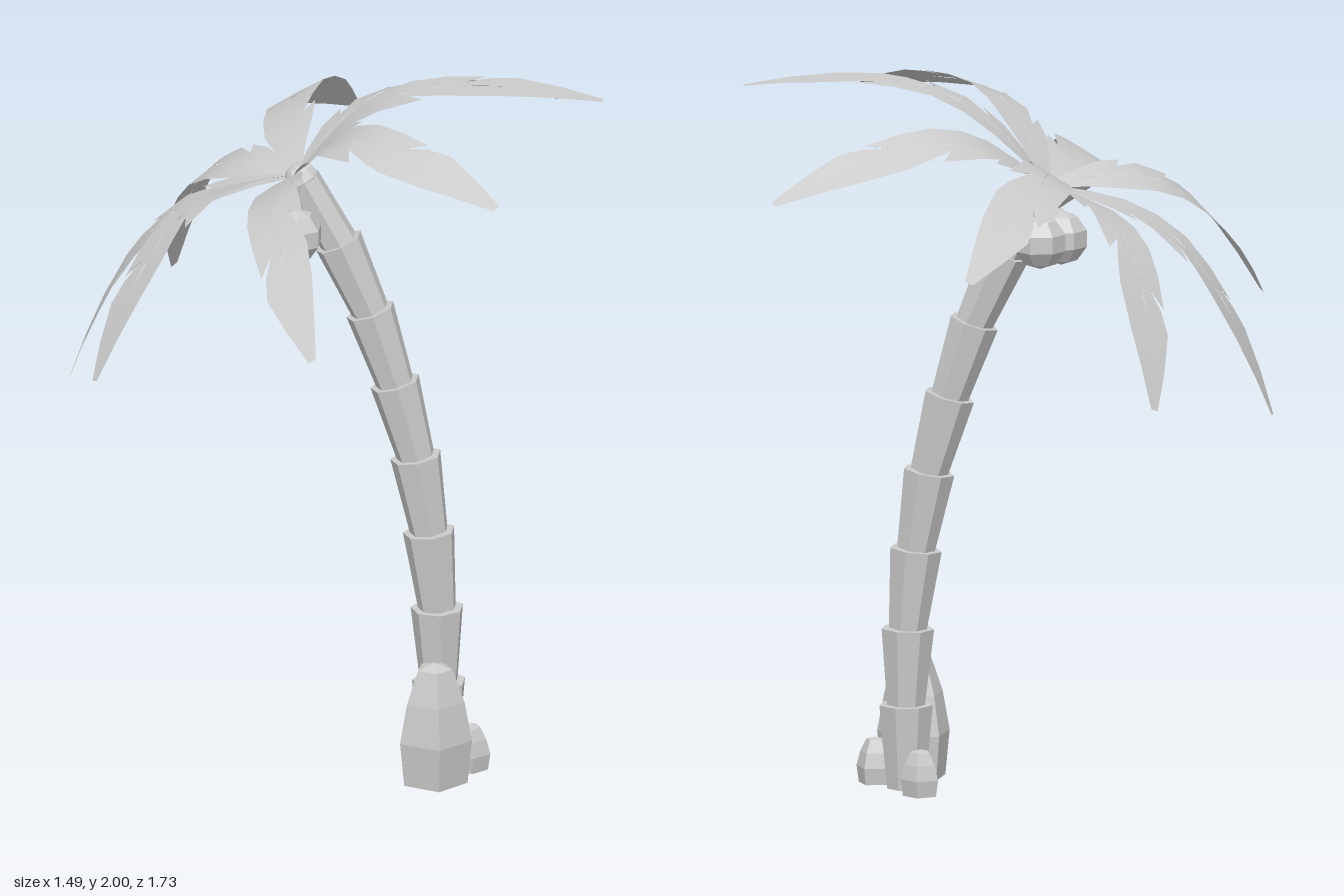
import * as THREE from 'three';

const solid = new THREE.MeshStandardMaterial({ color: 0xcccccc, flatShading: true });
const leaf = new THREE.MeshStandardMaterial({ color: 0xcccccc, side: THREE.DoubleSide });

function add(parent, name, geometry, material = solid) {
  const mesh = new THREE.Mesh(geometry, material);
  mesh.name = name;
  parent.add(mesh);
  return mesh;
}

// Height of the frond's arc at distance r from the crown
const arc = new THREE.SplineCurve([
  [0, 0], [0.18, 0.06], [0.37, 0.07], [0.55, 0.005], [0.72, -0.1], [0.87, -0.22],
].map(([x, y]) => new THREE.Vector2(x, y)));
const arcPoints = arc.getPoints(60);
function arcHeight(r) {
  const i = Math.max(1, arcPoints.findIndex((p) => p.x >= r));
  const a = arcPoints[i - 1], b = arcPoints[i];
  return THREE.MathUtils.lerp(a.y, b.y, (r - a.x) / (b.x - a.x));
}

// Each half blade: [distance on midrib, distance on edge, half width], with cut notches
const bladeA = [
  [0.01, 0.01, 0.018], [0.09, 0.1, 0.045], [0.16, 0.19, 0.075], [0.2, 0.27, 0.085],
  [0.2, 0.235, 0.045], [0.28, 0.32, 0.075], [0.36, 0.45, 0.088], [0.36, 0.405, 0.04],
  [0.45, 0.49, 0.07], [0.54, 0.56, 0.085], [0.65, 0.67, 0.073], [0.76, 0.77, 0.045], [0.865, 0.865, 0.012],
];
const bladeB = [
  [0.01, 0.01, 0.018], [0.09, 0.1, 0.045], [0.18, 0.2, 0.078], [0.28, 0.3, 0.085],
  [0.38, 0.4, 0.085], [0.46, 0.5, 0.08], [0.51, 0.6, 0.072],
  [0.51, 0.55, 0.03], [0.57, 0.61, 0.06], [0.65, 0.67, 0.073], [0.76, 0.77, 0.045], [0.865, 0.865, 0.012],
];

function frondGeometry(mirror) {
  const position = [], index = [];
  [[bladeA, mirror], [bladeB, -mirror]].forEach(([blade, side]) => {
    const start = position.length / 3;
    blade.forEach(([mid, edge, width], i) => {
      position.push(mid, arcHeight(mid), 0, edge, arcHeight(edge), side * width);
      if (i === 0) return;
      const a = start + 2 * i - 2, b = a + 1, c = a + 2, d = a + 3;
      if (side > 0) index.push(a, b, c, b, d, c);
      else index.push(a, c, b, b, c, d);
    });
  });
  const geometry = new THREE.BufferGeometry();
  geometry.setAttribute('position', new THREE.Float32BufferAttribute(position, 3));
  geometry.setIndex(index);
  geometry.computeVertexNormals();
  return geometry;
}

function rock(parent, name, x, z, radius, height, turn) {
  const profile = [[0, 0], [0.88, 0], [1, 0.36], [0.8, 0.68], [0.48, 0.95], [0, 1]]
    .map(([r, y]) => new THREE.Vector2(r * radius, y * height));
  const mesh = add(parent, name, new THREE.LatheGeometry(profile, 5));
  mesh.position.set(x, 0, z);
  mesh.rotation.y = turn;
}

export function createModel() {
  const model = new THREE.Group();
  model.name = 'palmTree';

  // Trunk of flared, stacked segments along a leaning curve
  const trunk = new THREE.Group();
  trunk.name = 'trunk';
  model.add(trunk);
  const joints = [
    [0.29, 0], [0.29, 0.235], [0.285, 0.45], [0.262, 0.675], [0.225, 0.895],
    [0.167, 1.11], [0.098, 1.32], [0.01, 1.52], [-0.09, 1.7],
  ].map(([x, y]) => new THREE.Vector3(x, y, 0.012));
  const up = new THREE.Vector3(0, 1, 0);
  for (let i = 0; i < joints.length - 1; i++) {
    const axis = joints[i + 1].clone().sub(joints[i]);
    const last = i === joints.length - 2;
    const top = last ? 0.05 : 0.076 - 0.0012 * i;
    const geometry = new THREE.CylinderGeometry(top, 0.054, axis.length(), 7);
    geometry.rotateY(-Math.PI / 2);
    const segment = add(trunk, 'trunkSegment', geometry);
    segment.position.copy(joints[i]).addScaledVector(axis, 0.5);
    segment.quaternion.setFromUnitVectors(up, axis.normalize());
  }

  // Rounded bud closing the trunk
  const bud = add(model, 'crownBud', new THREE.SphereGeometry(0.05, 10, 6));
  bud.position.set(-0.092, 1.7, 0.012);
  bud.rotation.z = 0.54;

  // Tilted crown of eight arching fronds, each with its own pitch and handedness
  const crown = new THREE.Group();
  crown.name = 'crown';
  crown.position.set(-0.108, 1.712, 0.01);
  crown.rotation.z = 0.535;
  model.add(crown);
  const right = frondGeometry(1), left = frondGeometry(-1);
  [
    [0, right], [-0.11, left], [0.095, right], [-0.015, right],
    [0, right], [0.145, left], [-0.06, left], [0.035, right],
  ].forEach(([pitch, shape], i) => {
    const frond = add(crown, 'frond', shape, leaf);
    frond.rotation.set(0, (i * Math.PI) / 4, pitch);
  });

  // Cluster of coconuts under the crown
  [[-0.147, 0.014], [-0.1, 0.09], [-0.1, -0.06]].forEach(([x, z]) => {
    const nut = add(model, 'coconut', new THREE.SphereGeometry(0.076, 7, 5));
    nut.position.set(x, 1.565, z);
  });

  // Rocks at the foot
  rock(model, 'largeRock', 0.295, 0.18, 0.106, 0.35, 0.25);
  rock(model, 'smallRock', 0.23, -0.095, 0.056, 0.13, 0.6);
  rock(model, 'smallRock', 0.385, 0.07, 0.055, 0.13, 0.2);

  return model;
}
